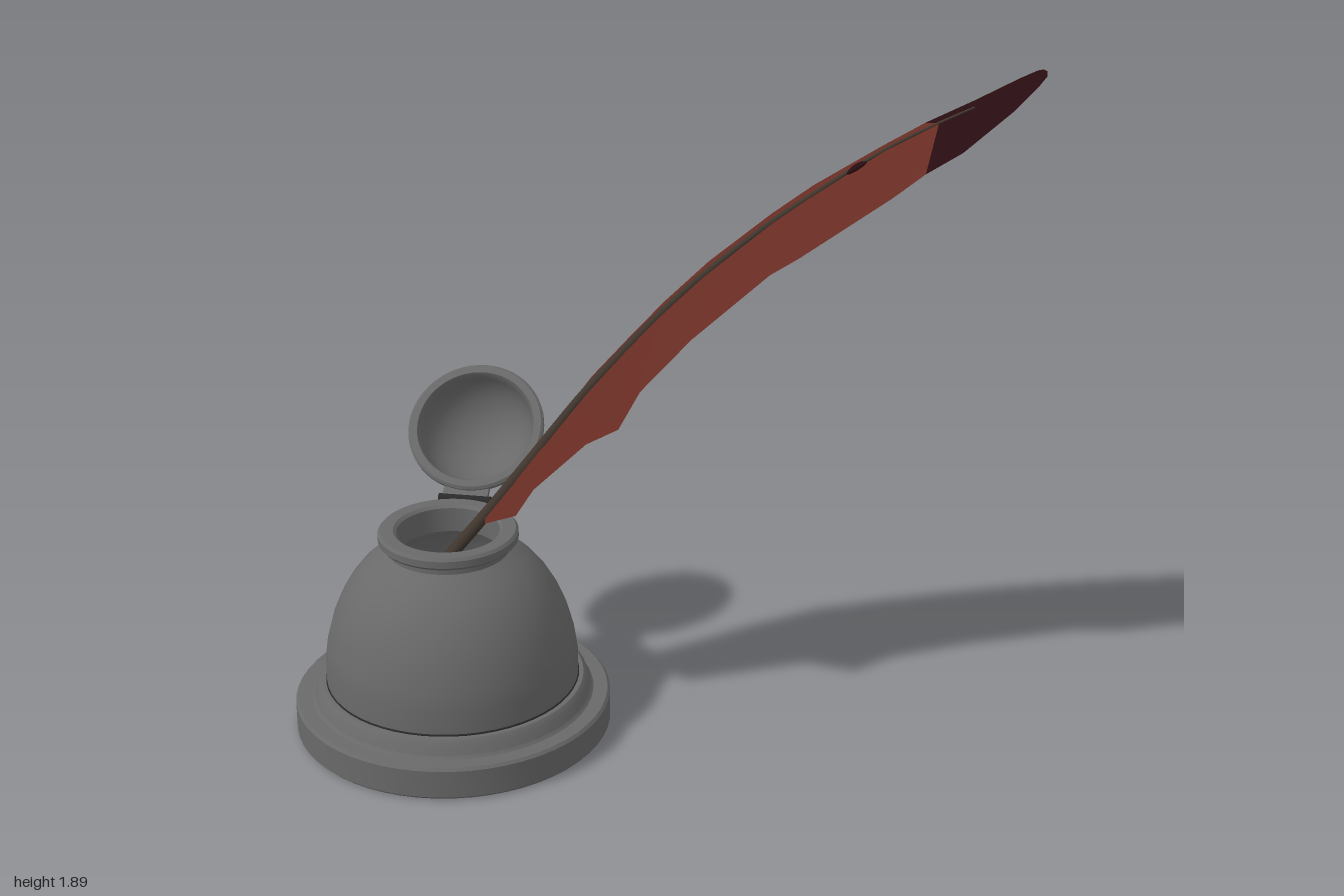
import * as THREE from 'three';
import { toCreasedNormals } from 'three/addons/utils/BufferGeometryUtils.js';

const mat = (name, color, side = THREE.FrontSide) => {
  const m = new THREE.MeshStandardMaterial({ color, side });
  m.name = name;
  return m;
};

function part(name, geometry, material, parent) {
  const mesh = new THREE.Mesh(geometry, material);
  mesh.name = name;
  parent.add(mesh);
  return mesh;
}

const lathe = (points, crease = 0.5) =>
  toCreasedNormals(new THREE.LatheGeometry(points.map(([r, y]) => new THREE.Vector2(r, y)), 56), crease);

// Sections across the feather: front edge, shaft, back edge
const SECTIONS = [
  [[-0.46, 0.6, 0], [-0.47, 0.605, -0.04], [-0.455, 0.61, -0.07]],
  [[-0.35, 0.68, 0.1], [-0.385, 0.715, -0.065], [-0.38, 0.72, -0.12]],
  [[-0.3, 0.76, 0.095], [-0.315, 0.805, -0.1], [-0.315, 0.81, -0.175]],
  [[-0.16, 0.89, 0.062], [-0.2, 0.955, -0.135], [-0.2, 0.96, -0.245]],
  [[-0.06, 0.97, 0.13], [-0.1, 1.07, -0.162], [-0.09, 1.085, -0.265]],
  [[-0.01, 1.06, 0.077], [0, 1.18, -0.18], [0, 1.185, -0.275]],
  [[0.12, 1.2, 0.035], [0.12, 1.3, -0.192], [0.12, 1.305, -0.285]],
  [[0.32, 1.38, 0], [0.3, 1.455, -0.207], [0.29, 1.45, -0.292]],
  [[0.4, 1.44, 0.02], [0.4, 1.53, -0.214], [0.4, 1.535, -0.294]],
  [[0.63, 1.6, -0.025], [0.59, 1.665, -0.22], [0.58, 1.655, -0.29]],
  [[0.71, 1.66, -0.05], [0.73, 1.745, -0.225], [0.69, 1.725, -0.285]],
  [[0.8, 1.71, -0.085], [0.82, 1.79, -0.23], [0.82, 1.795, -0.283]],
  [[0.92, 1.805, -0.15], [0.93, 1.852, -0.235], [0.93, 1.855, -0.293]],
  [[0.98, 1.86, -0.2], [0.985, 1.882, -0.24], [0.975, 1.878, -0.293]],
  [[1.0, 1.88, -0.23], [1.0, 1.89, -0.245], [0.99, 1.885, -0.28]],
];

// Loft a sheet through a run of sections
function vane(sections) {
  const index = [];
  for (let i = 0; i < sections.length - 1; i++) {
    for (let j = 0; j < 2; j++) {
      const a = i * 3 + j, b = a + 3;
      index.push(a, b, a + 1, b, b + 1, a + 1);
    }
  }
  const g = new THREE.BufferGeometry();
  g.setAttribute('position', new THREE.Float32BufferAttribute(sections.flat(2), 3));
  g.setIndex(index);
  g.computeVertexNormals();
  return g;
}

// Tube whose radius shrinks along its length
function taperedTube(curve, segments, r0, r1, sides) {
  const g = new THREE.TubeGeometry(curve, segments, 1, sides, false);
  const p = g.attributes.position, v = new THREE.Vector3();
  for (let i = 0; i <= segments; i++) {
    const t = i / segments, c = curve.getPointAt(t);
    for (let j = 0; j <= sides; j++) {
      const k = i * (sides + 1) + j;
      v.fromBufferAttribute(p, k).sub(c).multiplyScalar(r0 + (r1 - r0) * t).add(c);
      p.setXYZ(k, v.x, v.y, v.z);
    }
  }
  return g;
}

export function createModel() {
  const model = new THREE.Group();
  model.name = 'inkwellWithQuill';
  const metal = mat('greyMetal', 0x696969);
  const dark = mat('darkSeam', 0x2a2a2a);
  const ink = mat('blackInk', 0x242626);
  const feather = mat('redBrownFeather', 0x672c23, THREE.DoubleSide);
  const tip = mat('darkFeatherTip', 0x270c10, THREE.DoubleSide);
  const quill = mat('brownShaft', 0x40362e, THREE.DoubleSide);

  // Pot
  const pot = new THREE.Group();
  pot.name = 'inkwell';
  pot.position.set(-0.555, 0, 0.043);
  model.add(pot);

  part('base', lathe([
    [0, 0], [0.437, 0], [0.445, 0.008], [0.445, 0.088], [0.438, 0.096], [0.398, 0.097],
    [0.39, 0.105], [0.382, 0.132], [0.37, 0.145], [0.34, 0.146],
  ]), metal, pot);

  part('body', lathe([
    [0.355, 0.14], [0.355, 0.215], [0.347, 0.27], [0.328, 0.34], [0.305, 0.395], [0.278, 0.442],
    [0.25, 0.478], [0.215, 0.512], [0.172, 0.542], [0.172, 0.565],
  ]), metal, pot);

  part('rim', lathe([
    [0.165, 0.562], [0.188, 0.564], [0.195, 0.572], [0.195, 0.592], [0.188, 0.6],
    [0.152, 0.6], [0.143, 0.592], [0.143, 0.52], [0.18, 0.46], [0.2, 0.33],
  ]), metal, pot);

  const seam = part('seam', new THREE.TorusGeometry(0.354, 0.004, 6, 56), dark, pot);
  seam.rotation.x = Math.PI / 2;
  seam.position.y = 0.147;

  const surface = part('ink', new THREE.CircleGeometry(0.21, 40), ink, pot);
  surface.rotation.x = -Math.PI / 2;
  surface.position.y = 0.35;

  // Open lid, a hollow dome tipped back on its hinge
  const arc = (r, depth, from, to) => Array.from({ length: 13 }, (_, i) => {
    const a = from + (to - from) * i / 12;
    return [Math.max(0, r * Math.cos(a)), -depth * Math.sin(a)];
  });
  const q = Math.PI / 2;
  const lid = part('lid', lathe([
    ...arc(0.18, 0.165, q, 0.08), [0.192, -0.013], [0.197, -0.006], [0.197, 0.005], [0.19, 0.012],
    [0.17, 0.012], ...arc(0.164, 0.148, 0, q),
  ]), metal, model);
  lid.position.set(-0.555, 0.745, -0.322);
  lid.rotation.x = 0.734;

  // Hinge
  const leaf = part('hingeLeaf', new THREE.BoxGeometry(0.13, 0.016, 0.07), metal, model);
  leaf.position.set(-0.555, 0.6, -0.17);
  leaf.rotation.x = 0.6;
  const pin = part('hingePin', new THREE.CylinderGeometry(0.014, 0.014, 0.15, 12), dark, model);
  pin.rotation.z = Math.PI / 2;
  pin.position.set(-0.555, 0.592, -0.158);

  // Quill
  const pen = new THREE.Group();
  pen.name = 'quill';
  model.add(pen);
  part('featherVane', vane(SECTIONS.slice(0, 11)), feather, pen);
  part('featherTip', vane(SECTIONS.slice(10)), tip, pen);

  const path = new THREE.CatmullRomCurve3([
    new THREE.Vector3(-0.68, 0.36, 0.045), new THREE.Vector3(-0.57, 0.485, -0.003),
    ...SECTIONS.slice(0, 12).map((s) => new THREE.Vector3(...s[1])),
  ]);
  part('shaft', taperedTube(path, 48, 0.02, 0.003, 10), quill, pen);

  // Dark fleck beside the shaft
  const fleck = part('fleck', new THREE.SphereGeometry(1, 12, 8), tip, pen);
  fleck.scale.set(0.035, 0.009, 0.016);
  fleck.position.set(0.52, 1.615, -0.218);
  fleck.rotation.z = 0.62;

  return model;
}
